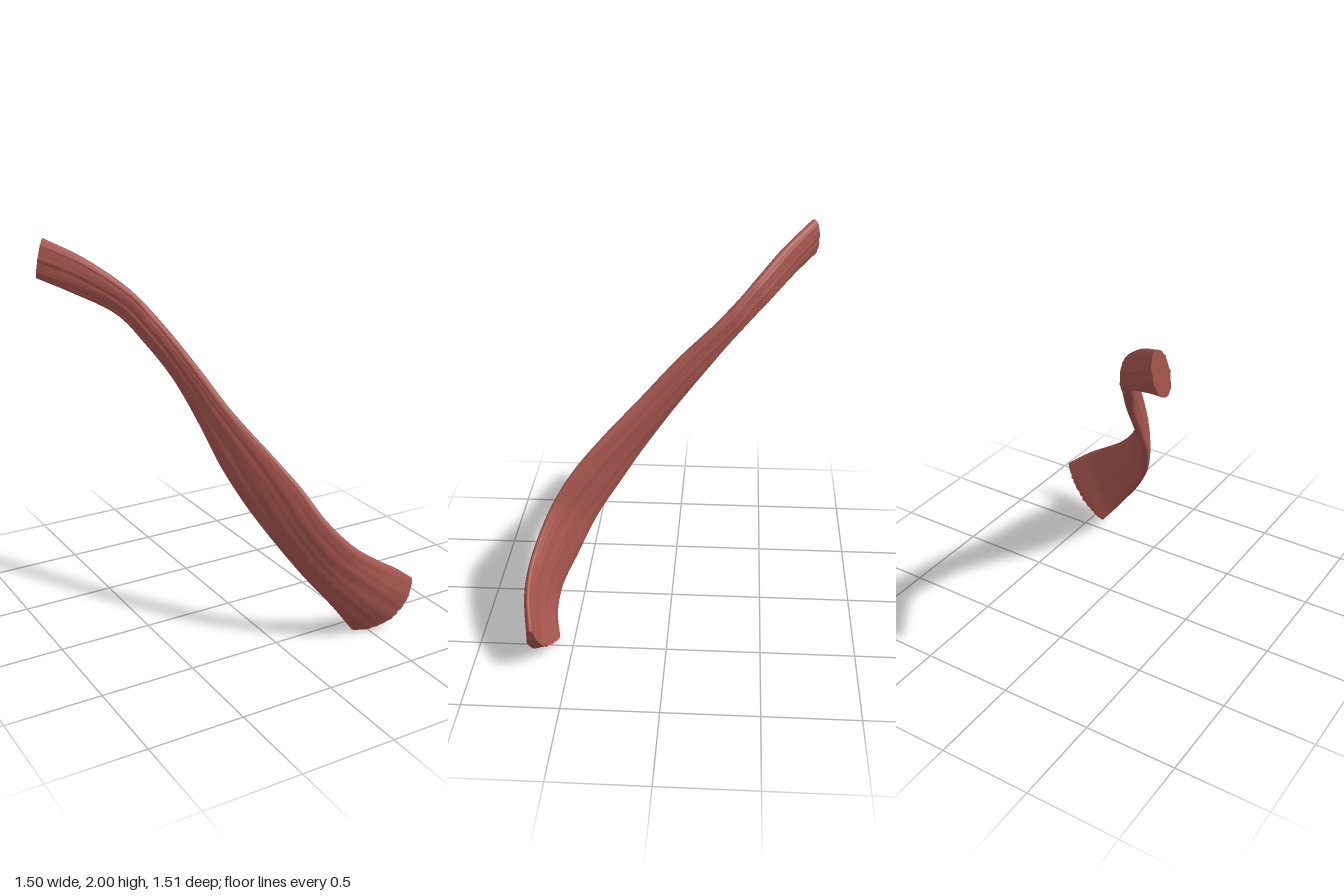
import * as THREE from 'three';

// Stations along the strap: upper edge xyz, lower edge xyz, half thickness, forward bow
const STATIONS = [
  [-0.70, 2.00, -0.735, -0.745, 1.79, -0.735, 0.040, 0],
  [-0.53, 1.90, -0.58, -0.60, 1.72, -0.62, 0.037, 0],
  [-0.36, 1.75, -0.41, -0.41, 1.61, -0.47, 0.034, 0],
  [-0.26, 1.60, -0.26, -0.31, 1.46, -0.31, 0.034, 0],
  [-0.17, 1.40, -0.03, -0.23, 1.30, -0.165, 0.033, 0],
  [-0.08, 1.20, 0.17, -0.175, 1.10, 0.00, 0.034, 0],
  [0.04, 1.00, 0.38, -0.13, 0.90, 0.15, 0.036, 0],
  [0.13, 0.85, 0.52, -0.06, 0.72, 0.28, 0.038, 0],
  [0.21, 0.70, 0.62, 0.035, 0.54, 0.41, 0.038, 0.005],
  [0.34, 0.55, 0.69, 0.15, 0.36, 0.51, 0.038, 0.012],
  [0.48, 0.45, 0.715, 0.255, 0.22, 0.585, 0.036, 0.022],
  [0.60, 0.375, 0.71, 0.345, 0.10, 0.605, 0.034, 0.033],
  [0.74, 0.27, 0.68, 0.425, 0.00, 0.585, 0.032, 0.042],
];
const RINGS = 120, SIDES = 72;

const curveOf = (pick) => new THREE.CatmullRomCurve3(STATIONS.map((s) => new THREE.Vector3(...pick(s))));

// Fine fibre ridges that run lengthwise and drift slowly around the strap
function fibre(a, t) {
  const b = a + 0.25 * Math.sin(t * 5);
  return 0.5 * Math.sin(b * 9 + 2 * Math.sin(t * 7)) + 0.35 * Math.sin(b * 17 + 3 * t) + 0.3 * Math.sin(b * 25 - 5 * t);
}

// Cross-section loops, each a rounded flat band between the two edges
function buildRings() {
  const upper = curveOf((s) => [s[0], s[1], s[2]]);
  const lower = curveOf((s) => [s[3], s[4], s[5]]);
  const shape = curveOf((s) => [s[6], s[7], 0]);
  const centre = (t) => upper.getPoint(t).add(lower.getPoint(t)).multiplyScalar(0.5);
  const rings = [];
  for (let i = 0; i <= RINGS; i++) {
    const t = i / RINGS;
    const c = centre(t);
    const half = upper.getPoint(t).sub(c);
    const tangent = centre(Math.min(1, t + 0.01)).sub(centre(Math.max(0, t - 0.01))).normalize();
    const normal = tangent.clone().cross(half).normalize();
    const { x: thick, y: bow } = shape.getPoint(t);
    const flare = THREE.MathUtils.smoothstep(t, 0.82, 1);
    const ring = [];
    for (let j = 0; j < SIDES; j++) {
      const a = (j / SIDES) * Math.PI * 2;
      const s = Math.sin(a), k = Math.cos(a);
      const depth = Math.sign(s) * Math.pow(Math.abs(s), 0.85) * (thick + 0.0035 * fibre(a, t)) + bow * s * s;
      // The wide end is rounded outward and slightly frayed
      let along = flare * 0.06 * s * s;
      if (i === RINGS) along += 0.006 * Math.sin(j * 2.7) * s * s;
      ring.push(c.clone().addScaledVector(half, k).addScaledVector(normal, depth).addScaledVector(tangent, along));
    }
    rings.push(ring);
  }
  return rings;
}

function geometryFrom(points, index) {
  const g = new THREE.BufferGeometry().setFromPoints(points);
  g.setIndex(index);
  g.computeVertexNormals();
  return g;
}

// Long smooth surface of the strap
function strapGeometry(rings) {
  const index = [];
  for (let i = 0; i < RINGS; i++) {
    for (let j = 0; j < SIDES; j++) {
      const n = (j + 1) % SIDES;
      const a = i * SIDES + j, b = i * SIDES + n, c = a + SIDES, d = b + SIDES;
      index.push(a, b, c, b, d, c);
    }
  }
  return geometryFrom(rings.flat(), index);
}

// Cut end: strips joining the front and back halves of a loop
function capGeometry(ring, flip) {
  const index = [];
  const tri = (a, b, c) => (flip ? index.push(a, c, b) : index.push(a, b, c));
  for (let j = 0; j < SIDES / 2; j++) {
    const a = j, b = j + 1, c = (SIDES - j) % SIDES, d = SIDES - j - 1;
    if (j > 0) tri(a, b, c);
    if (b !== d) tri(b, d, c);
  }
  return geometryFrom(ring, index);
}

export function createModel() {
  const group = new THREE.Group();
  group.name = 'muscleStrap';
  const muscle = new THREE.MeshStandardMaterial({ color: 0xa9574f });
  muscle.name = 'muscle red';
  const rings = buildRings();
  const add = (name, geometry) => {
    const mesh = new THREE.Mesh(geometry, muscle);
    mesh.name = name;
    group.add(mesh);
  };
  add('muscleBelly', strapGeometry(rings));
  add('upperEnd', capGeometry(rings[0], true));
  add('lowerEnd', capGeometry(rings[RINGS], false));
  return group;
}
